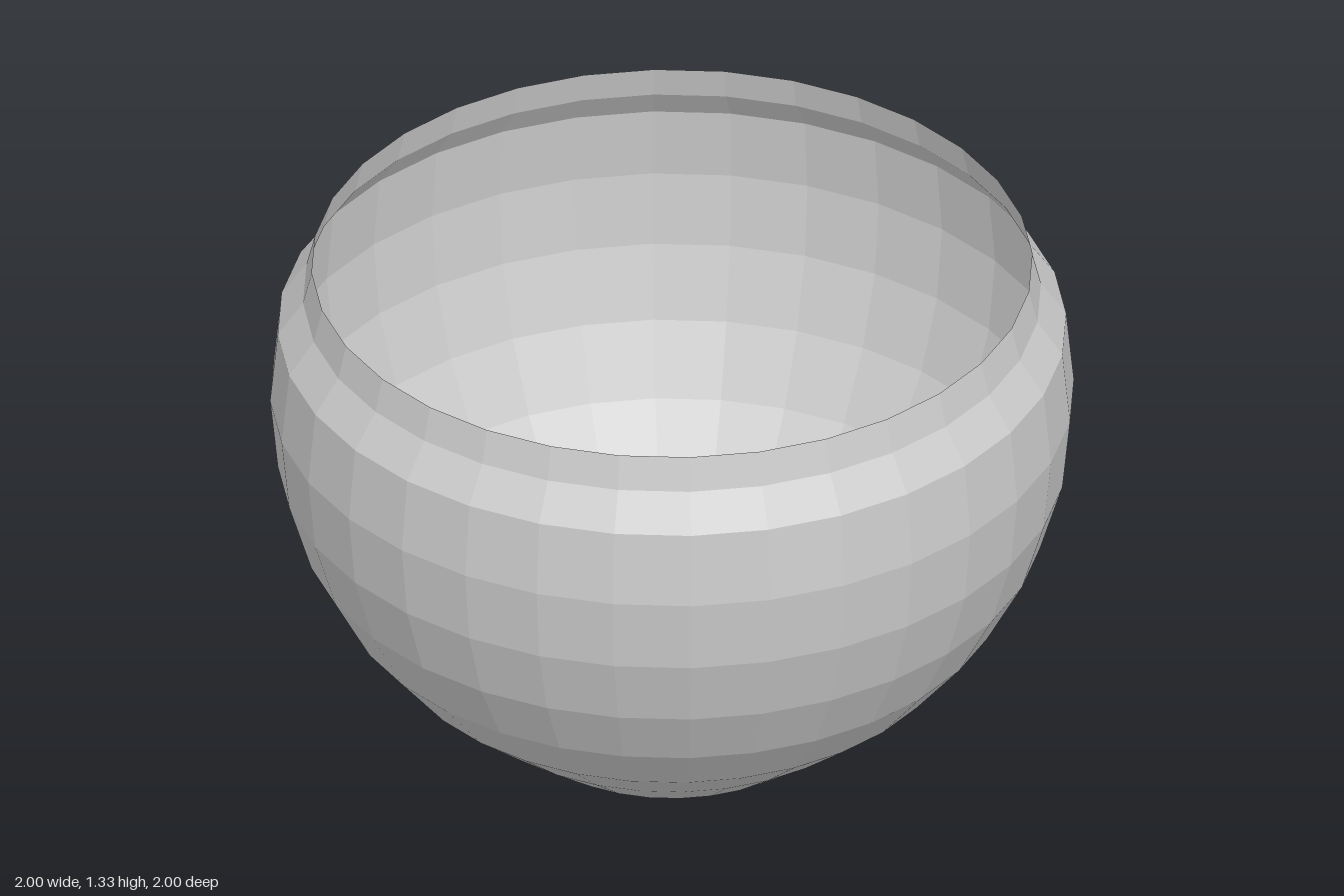
import * as THREE from 'three';

const SEGMENTS = 32;
const STEP = Math.PI / 16; // angle between rings of the round body
const CENTRE_Y = 0.955;

export function createModel() {
  const group = new THREE.Group();
  group.name = 'bowl';
  const material = new THREE.MeshStandardMaterial({
    color: 0xcccccc, flatShading: true, side: THREE.DoubleSide,
  });

  // Thin wall: flat foot, spherical body, then a pinched upright rim
  const profile = [new THREE.Vector2(0.392, 0)];
  for (let i = -5; i <= 1; i++) {
    profile.push(new THREE.Vector2(Math.cos(i * STEP), CENTRE_Y + Math.sin(i * STEP)));
  }
  profile.push(new THREE.Vector2(0.918, 1.24), new THREE.Vector2(0.896, 1.328));
  const wall = new THREE.Mesh(new THREE.LatheGeometry(profile, SEGMENTS), material);
  wall.name = 'bowlWall';
  group.add(wall);

  // Flat base closing the bottom
  const base = new THREE.Mesh(new THREE.CircleGeometry(0.392, SEGMENTS), material);
  base.name = 'bowlBase';
  base.rotation.x = Math.PI / 2;
  group.add(base);

  return group;
}
